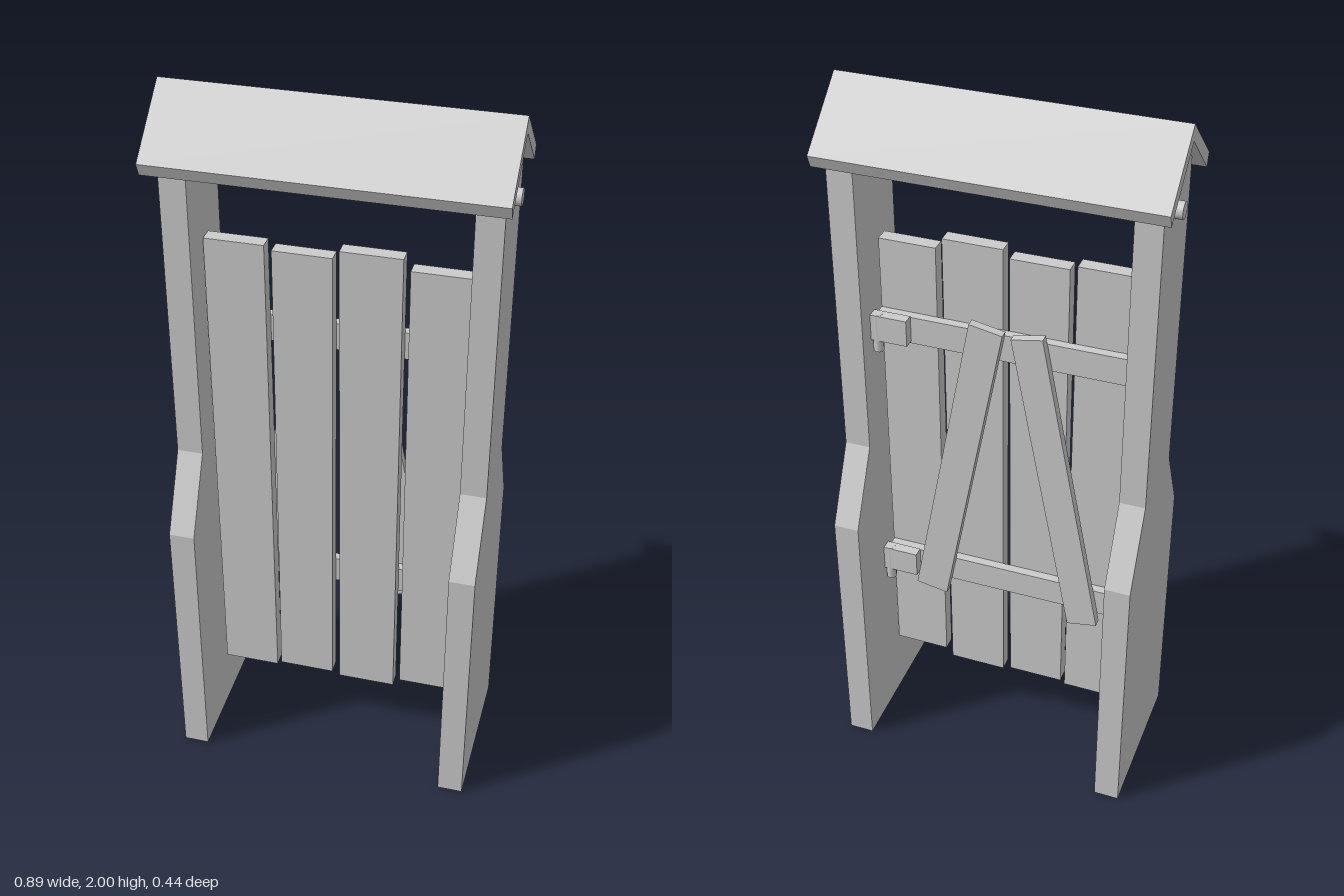
import * as THREE from 'three';

const material = new THREE.MeshStandardMaterial({ color: 0xcccccc });

export function createModel() {
  const model = new THREE.Group();

  const add = (name, geometry, x = 0, y = 0, z = 0, roll = 0, parent = model) => {
    const mesh = new THREE.Mesh(geometry, material);
    mesh.name = name;
    mesh.position.set(x, y, z);
    mesh.rotation.z = roll;
    parent.add(mesh);
    return mesh;
  };

  // Extrude a [z, y] profile along x from x0 to x1
  const alongX = (points, x0, x1) => {
    const shape = new THREE.Shape(points.map(([z, y]) => new THREE.Vector2(z, y)));
    return new THREE.ExtrudeGeometry(shape, { depth: x1 - x0, bevelEnabled: false })
      .rotateY(-Math.PI / 2).translate(x1, 0, 0);
  };

  // Side posts: wide foot, sloped shoulders, gabled top
  const post = [
    [-0.22, 0], [0.22, 0], [0.22, 0.78], [0.115, 0.99], [0.115, 1.87],
    [0.01, 1.957], [-0.115, 1.855], [-0.115, 0.99], [-0.22, 0.78],
  ];
  add('leftPost', alongX(post, 0.35, 0.42));
  add('rightPost', alongX(post, -0.42, -0.35));

  // Pitched roof boards
  const roof = [
    [0.01, 2], [-0.163, 1.853], [-0.15, 1.82], [0.01, 1.957], [0.17, 1.82], [0.183, 1.853],
  ];
  add('roof', alongX(roof, -0.445, 0.442));

  // Round rod through the post tops
  add('rod', new THREE.CylinderGeometry(0.022, 0.022, 0.88, 24).rotateZ(Math.PI / 2), 0, 1.79, -0.005);

  const door = new THREE.Group();
  door.name = 'door';
  model.add(door);

  // Uneven door planks: centre x, width, bottom, top, roll
  const planks = [
    [-0.265, 0.158, 0.185, 1.595, 0.002],
    [-0.092, 0.157, 0.195, 1.583, -0.003],
    [0.087, 0.162, 0.185, 1.605, 0.001],
    [0.264, 0.155, 0.21, 1.575, 0.002],
  ];
  planks.forEach(([x, w, y0, y1, roll], i) =>
    add(`plank${i + 1}`, new THREE.BoxGeometry(w, y1 - y0, 0.04), x, (y0 + y1) / 2, 0.01, roll, door));

  for (const [level, y] of [['lower', 0.557], ['upper', 1.335]]) {
    // Cross battens on the back
    add(`${level}Batten`, new THREE.BoxGeometry(0.675, 0.078, 0.025), 0.003, y, -0.0225, 0, door);
    // Hinge block and pin at the left post
    add(`${level}HingeBlock`, new THREE.BoxGeometry(0.1, 0.075, 0.03), 0.3, y + 0.005, -0.05, 0, door);
    add(`${level}HingePin`, new THREE.CylinderGeometry(0.014, 0.014, 0.11, 12), 0.335, y - 0.012, -0.052, 0, door);
  }

  // Diagonal braces meeting near the top
  const brace = (name, xb, yb, xt, yt, width) =>
    add(name, new THREE.BoxGeometry(width, Math.hypot(xt - xb, yt - yb), 0.025),
      (xb + xt) / 2, (yb + yt) / 2, -0.0475, -Math.atan2(xt - xb, yt - yb), door);
  brace('leftBrace', 0.206, 0.49, 0.035, 1.395, 0.092);
  brace('rightBrace', -0.245, 0.485, -0.075, 1.39, 0.086);

  return model;
}
